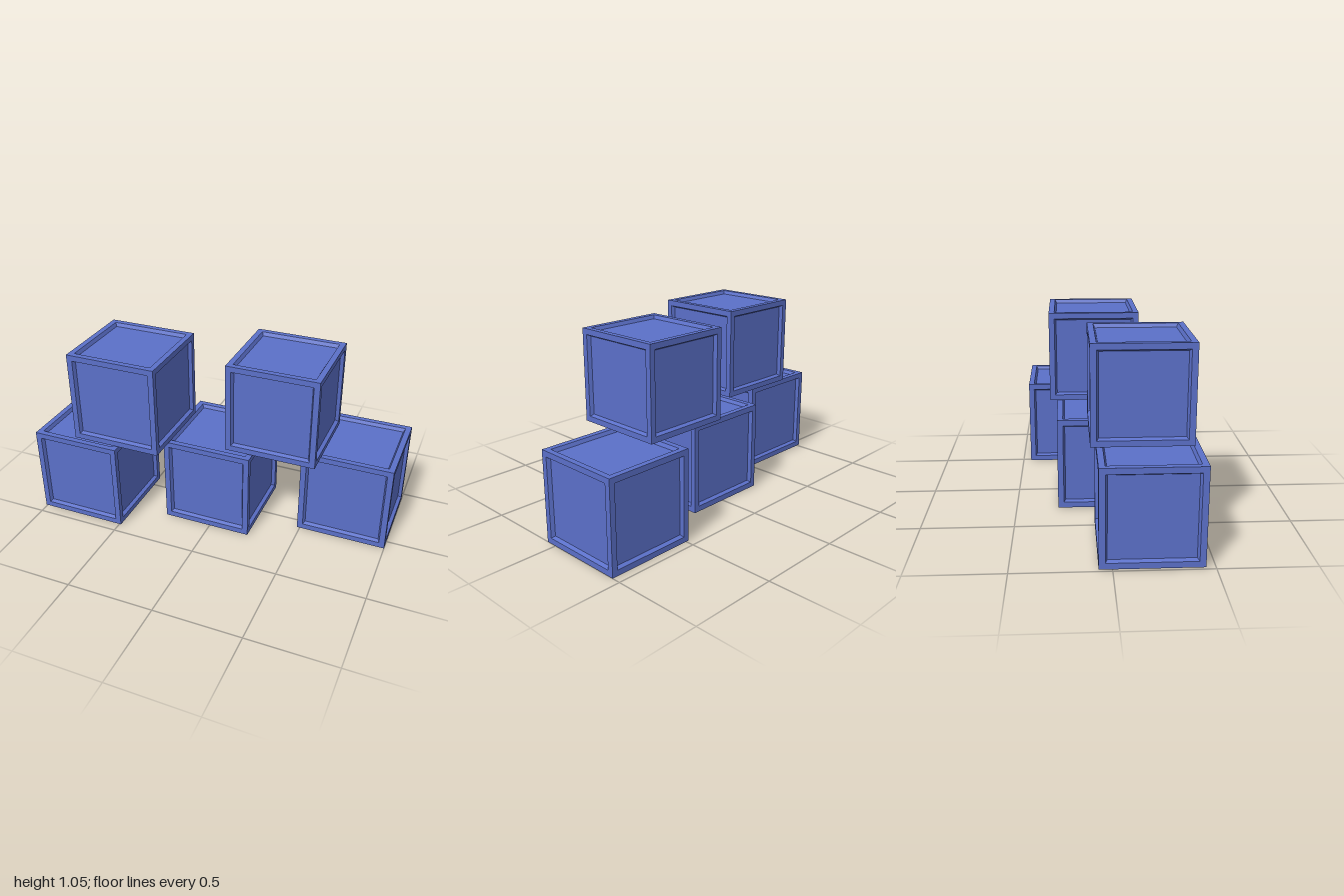
import * as THREE from 'three';
import { mergeGeometries } from 'three/addons/utils/BufferGeometryUtils.js';

const SIZE = 0.517, HALF = SIZE / 2;
const RIM = 0.032, BEVEL = 0.01, DEPTH = 0.02;

// One square crate side facing +y: flat rim, steep bevel, sunken panel
function sideGeometry() {
  const profile = [
    [HALF, HALF],
    [HALF - RIM, HALF],
    [HALF - RIM - BEVEL, HALF - DEPTH],
    [0, HALF - DEPTH],
  ].map(([r, y]) => new THREE.Vector2(r * Math.SQRT2, y));
  const side = new THREE.LatheGeometry(profile, 4, Math.PI / 4).toNonIndexed();
  side.computeVertexNormals();
  return side;
}

// Six sides turned to make a closed crate
function crateGeometry() {
  const side = sideGeometry();
  const sides = [0, 1, 2, 3].map((i) => side.clone().rotateX((i * Math.PI) / 2));
  sides.push(side.clone().rotateZ(Math.PI / 2), side.clone().rotateZ(-Math.PI / 2));
  return mergeGeometries(sides);
}

export function createModel() {
  const group = new THREE.Group();
  group.name = 'crateStack';
  const blue = new THREE.MeshStandardMaterial({ color: 0x5b70c9 });
  blue.name = 'blue';
  const geometry = crateGeometry();

  // Three crates below, two resting across them
  const crates = [
    ['lowerRightCrate', -0.7415, 0.2705, 0.1905],
    ['lowerMiddleCrate', -0.019, 0.265, -0.007],
    ['lowerLeftCrate', 0.7415, 0.2605, -0.193],
    ['upperRightCrate', -0.4915, 0.7975, 0.1605],
    ['upperLeftCrate', 0.3415, 0.792, -0.0495],
  ];
  for (const [name, x, y, z] of crates) {
    const crate = new THREE.Mesh(geometry, blue);
    crate.name = name;
    crate.position.set(x, y, z);
    group.add(crate);
  }
  return group;
}
